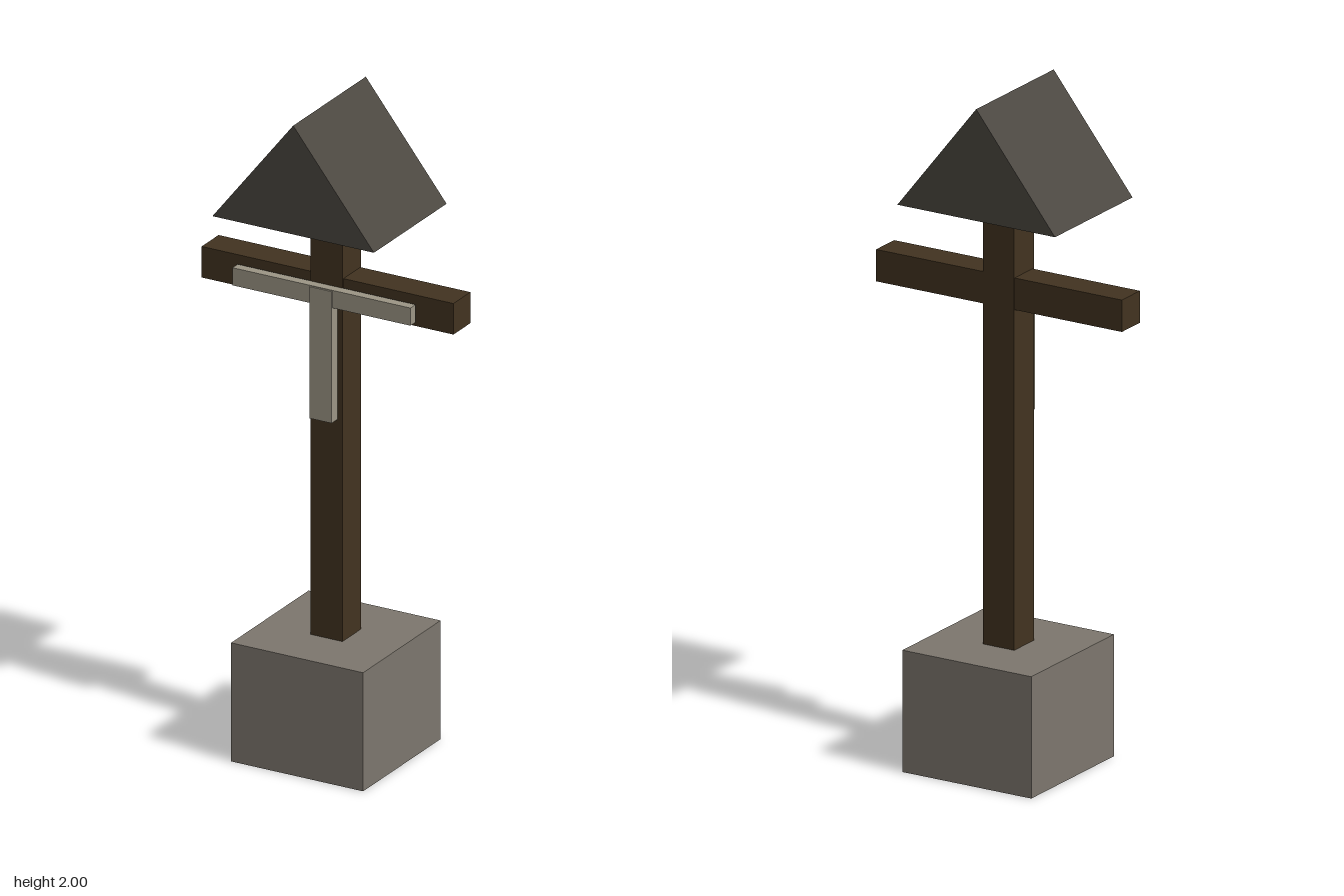
import * as THREE from 'three';

const material = (name, color) => {
  const m = new THREE.MeshStandardMaterial({ color, side: THREE.DoubleSide });
  m.name = name;
  return m;
};

// Box given by its limits on each axis; openBottom leaves out the underside
function box(name, mat, [x0, x1], [y0, y1], [z0, z1], openBottom = false) {
  const geo = new THREE.BoxGeometry(x1 - x0, y1 - y0, z1 - z0);
  if (openBottom) {
    const index = Array.from(geo.index.array);
    index.splice(18, 6);
    geo.setIndex(index);
    geo.clearGroups();
  }
  const mesh = new THREE.Mesh(geo, mat);
  mesh.name = name;
  mesh.position.set((x0 + x1) / 2, (y0 + y1) / 2, (z0 + z1) / 2);
  return mesh;
}

export function createModel() {
  const stone = material('stone', 0x7d776e);
  const wood = material('dark wood', 0x423320);
  const slate = material('roof slate', 0x4a463f);
  const pale = material('pale carving', 0x9c9686);

  const model = new THREE.Group();
  model.name = 'waysideCross';

  // Hollow stone plinth and wooden cross
  model.add(
    box('plinth', stone, [-0.215, 0.215], [0, 0.363], [-0.23, 0.205], true),
    box('post', wood, [-0.052, 0.052], [0.363, 1.67], [-0.063, 0.04]),
    box('crossbeam', wood, [-0.41, 0.41], [1.377, 1.472], [-0.061, 0.034], true),
  );

  // Carved figure on the front: body and outstretched arms
  const figure = new THREE.Group();
  figure.name = 'figure';
  figure.add(
    box('body', pale, [-0.036, 0.036], [1.04, 1.443], [0.04, 0.073]),
    box('arms', pale, [-0.29, 0.29], [1.391, 1.445], [0.039, 0.068]),
  );
  model.add(figure);

  // Gabled roof, ridge running front to back
  const gable = new THREE.Shape();
  gable.moveTo(-0.263, 1.667);
  gable.lineTo(0.263, 1.667);
  gable.lineTo(0, 2);
  gable.closePath();
  const roof = new THREE.Mesh(
    new THREE.ExtrudeGeometry(gable, { depth: 0.408, bevelEnabled: false }), slate);
  roof.name = 'roof';
  roof.position.z = -0.181;
  model.add(roof);

  return model;
}
